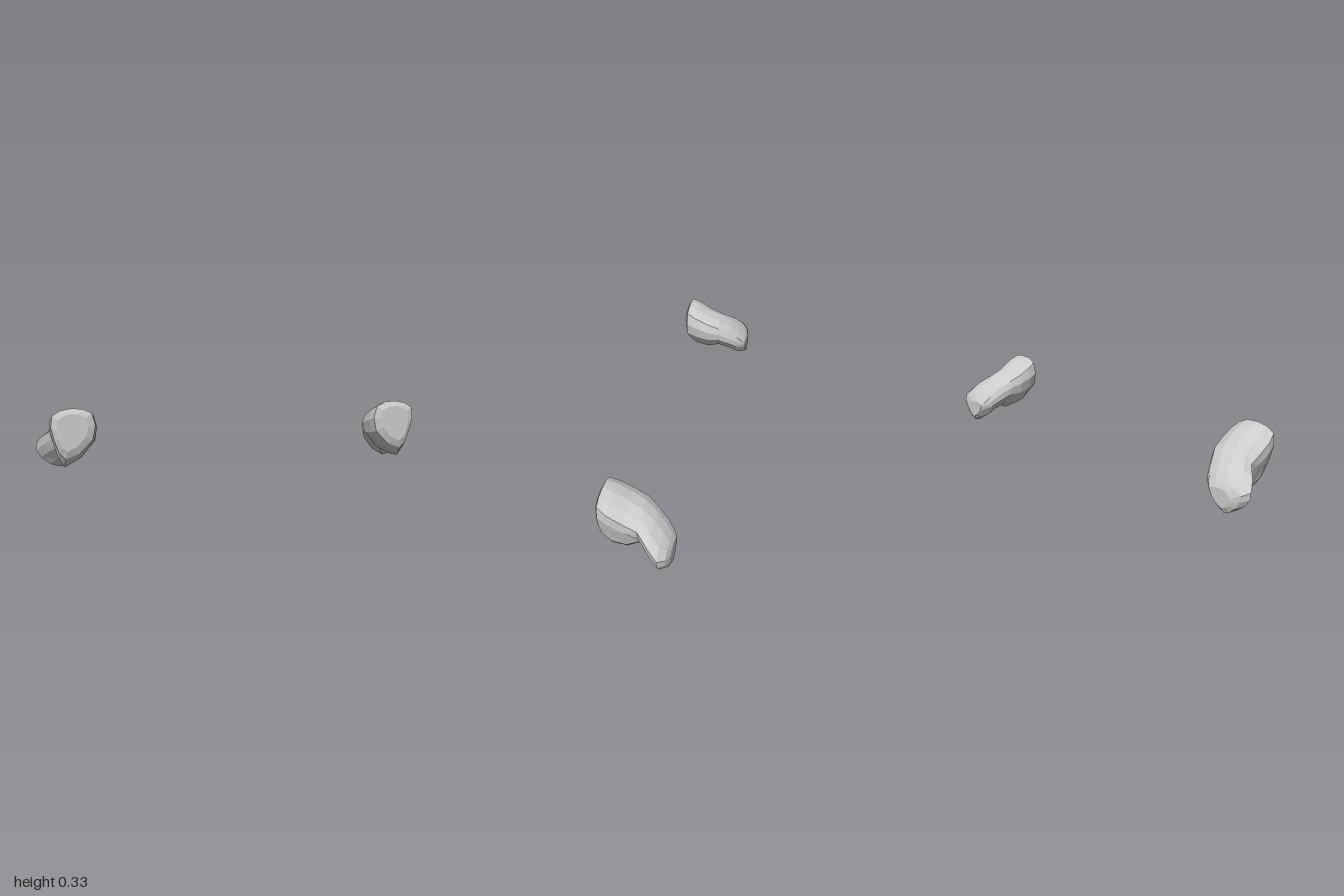
import * as THREE from 'three';

// Cross-sections from front to back: z, then x,y of
// top, upper inner, inner, keel, outer, upper outer
const SECTIONS = [
  [0.168, 0.82, 0.31, 0.75, 0.29, 0.75, 0.20, 0.84, 0.13, 0.88, 0.18, 0.88, 0.28],
  [0.155, 0.82, 0.335, 0.72, 0.31, 0.72, 0.18, 0.85, 0.09, 0.90, 0.18, 0.91, 0.30],
  [0.11, 0.82, 0.325, 0.71, 0.29, 0.71, 0.17, 0.855, 0.045, 0.905, 0.16, 0.92, 0.27],
  [0.04, 0.82, 0.288, 0.71, 0.26, 0.705, 0.16, 0.85, 0.037, 0.90, 0.13, 0.917, 0.23],
  [-0.025, 0.83, 0.26, 0.72, 0.235, 0.715, 0.16, 0.83, 0.07, 0.89, 0.12, 0.92, 0.205],
  [-0.085, 0.85, 0.222, 0.75, 0.20, 0.74, 0.13, 0.84, 0.045, 0.94, 0.085, 0.97, 0.165],
  [-0.13, 0.87, 0.18, 0.77, 0.16, 0.765, 0.10, 0.87, 0.004, 0.97, 0.055, 0.995, 0.125],
  [-0.16, 0.88, 0.145, 0.79, 0.125, 0.80, 0.08, 0.88, 0.004, 0.94, 0.045, 0.965, 0.11],
  [-0.174, 0.87, 0.12, 0.81, 0.11, 0.82, 0.07, 0.87, 0.03, 0.91, 0.05, 0.92, 0.09],
];
const SIDES = 12;

// Round one section into a closed ring of points
function ring([z, ...xy]) {
  const pts = [];
  for (let i = 0; i < xy.length; i += 2) pts.push(new THREE.Vector3(xy[i], xy[i + 1], z));
  const curve = new THREE.CatmullRomCurve3(pts, true, 'centripetal');
  return Array.from({ length: SIDES }, (_, j) => curve.getPoint(j / SIDES));
}

// Loft the sections into a closed faceted lobe; side is +1 or -1
function lobeGeometry(side) {
  const rings = SECTIONS.map(ring);
  const pos = [];
  const tri = (a, b, c) => {
    for (const p of side > 0 ? [a, b, c] : [a, c, b]) pos.push(p.x * side, p.y, p.z);
  };
  const centre = r => r.reduce((s, p) => s.add(p), new THREE.Vector3()).divideScalar(SIDES);
  const last = rings.length - 1;
  const front = centre(rings[0]), back = centre(rings[last]);
  for (let j = 0; j < SIDES; j++) {
    const k = (j + 1) % SIDES;
    tri(front, rings[0][j], rings[0][k]);
    tri(back, rings[last][k], rings[last][j]);
    for (let i = 0; i < last; i++) {
      const a = rings[i][j], b = rings[i][k], c = rings[i + 1][k], d = rings[i + 1][j];
      // alternate the diagonals for an irregular chiselled surface
      if ((i + j) % 2) { tri(a, d, b); tri(b, d, c); }
      else { tri(a, d, c); tri(a, c, b); }
    }
  }
  const geo = new THREE.BufferGeometry();
  geo.setAttribute('position', new THREE.Float32BufferAttribute(pos, 3));
  geo.computeVertexNormals();
  return geo;
}

export function createModel() {
  const group = new THREE.Group();
  const material = new THREE.MeshStandardMaterial({ color: 0xcccccc, flatShading: true });
  for (const side of [1, -1]) {
    const lobe = new THREE.Mesh(lobeGeometry(side), material);
    lobe.name = side > 0 ? 'leftLobe' : 'rightLobe';
    group.add(lobe);
  }
  return group;
}
